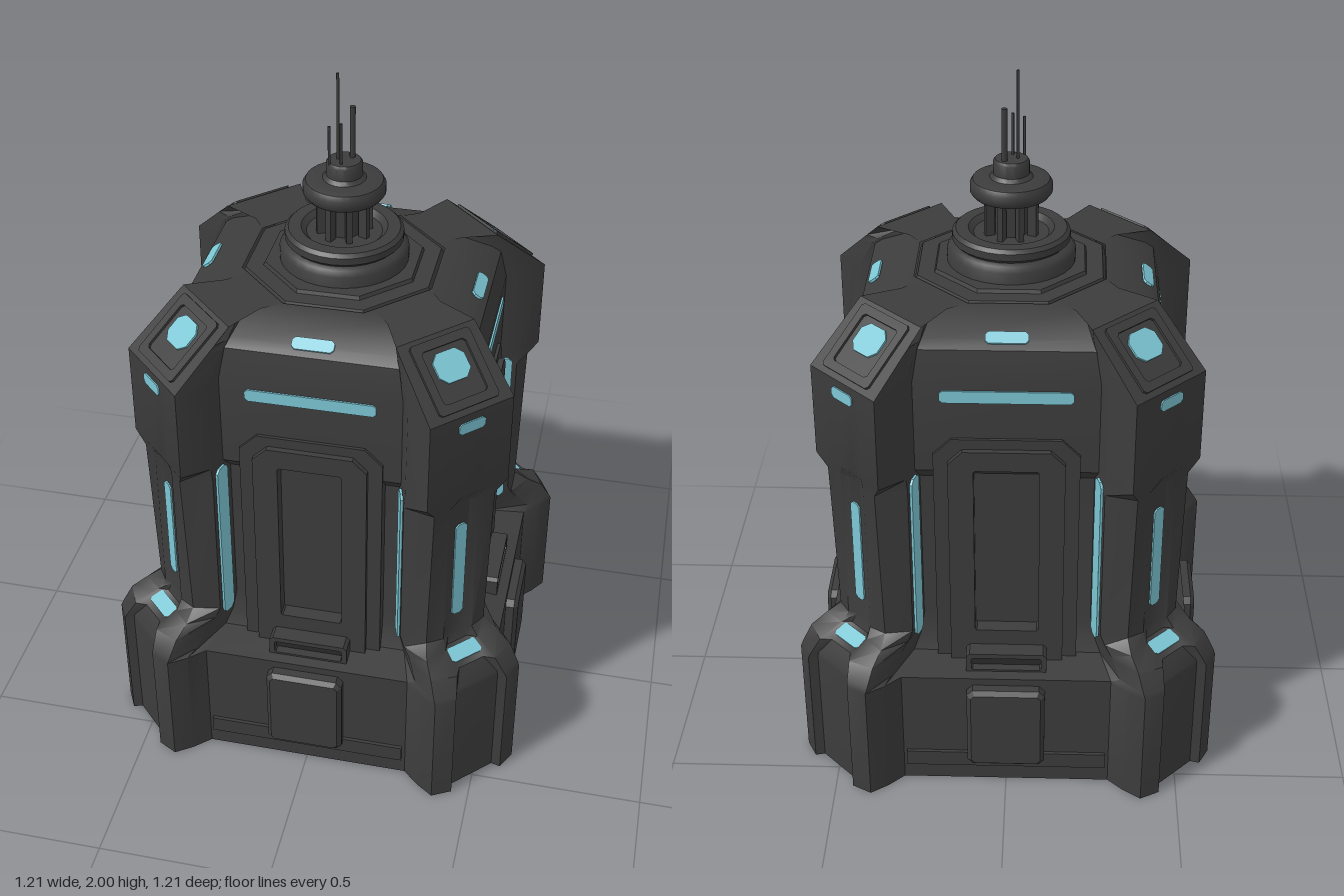
import * as THREE from 'three';
import { toCreasedNormals } from 'three/addons/utils/BufferGeometryUtils.js';

const hullMat = new THREE.MeshStandardMaterial({ color: 0x3c3c3c, side: THREE.DoubleSide });
hullMat.name = 'dark hull';
const lampMat = new THREE.MeshStandardMaterial({ color: 0x7cc6d4, side: THREE.DoubleSide });
lampMat.name = 'pale blue lamp';
const ventMat = new THREE.MeshStandardMaterial({ color: 0x2a2a2a });
ventMat.name = 'vent black';

// Hull levels: height, then five [x, z] points from the wall edge to the corner's middle
const FOOT = [[0.30, 0.53], [0.345, 0.572], [0.395, 0.606], [0.45, 0.577], [0.443, 0.55]];
const LEVELS = [
  [0.00, FOOT],
  [0.375, FOOT],
  [0.39, [[0.27, 0.42], [0.325, 0.54], [0.39, 0.60], [0.45, 0.57], [0.443, 0.547]]],
  [0.44, [[0.25, 0.40], [0.30, 0.50], [0.375, 0.573], [0.445, 0.54], [0.445, 0.505]]],
  [0.47, [[0.245, 0.395], [0.28, 0.485], [0.355, 0.53], [0.40, 0.48], [0.40, 0.45]]],
  [0.50, [[0.24, 0.39], [0.267, 0.475], [0.345, 0.488], [0.39, 0.46], [0.40, 0.435]]],
  [0.975, [[0.24, 0.39], [0.267, 0.475], [0.355, 0.498], [0.39, 0.46], [0.40, 0.435]]],
  [1.015, [[0.25, 0.425], [0.27, 0.475], [0.34, 0.53], [0.39, 0.48], [0.42, 0.45]]],
  [1.29, [[0.25, 0.428], [0.27, 0.465], [0.34, 0.53], [0.39, 0.48], [0.42, 0.45]]],
  [1.38, [[0.235, 0.41], [0.238, 0.42], [0.27, 0.452], [0.318, 0.404], [0.348, 0.374]]],
  [1.40, [[0.225, 0.385], [0.228, 0.40], [0.254, 0.435], [0.302, 0.387], [0.332, 0.357]]],
  [1.44, [[0.20, 0.285], [0.212, 0.33], [0.223, 0.40], [0.27, 0.353], [0.30, 0.323]]],
  [1.445, [[0.11, 0.265], [0.13, 0.245], [0.15, 0.225], [0.17, 0.205], [0.187, 0.188]]],
];

// Mirrors the points over the diagonal and turns them four times
function ring([y, half]) {
  const quarter = [...half, ...half.map(([x, z]) => [z, x]).reverse()];
  const out = [];
  for (let k = 0; k < 4; k++) {
    for (const p of quarter) {
      let [x, z] = p;
      for (let n = 0; n < k; n++) [x, z] = [z, -x];
      out.push([x, y, z]);
    }
  }
  return out;
}

function hullGeometry() {
  const rings = LEVELS.map(ring);
  const pos = [];
  for (let r = 0; r < rings.length - 1; r++) {
    const lo = rings[r], hi = rings[r + 1];
    for (let i = 0; i < lo.length; i++) {
      const j = (i + 1) % lo.length;
      pos.push(...lo[i], ...lo[j], ...hi[j], ...lo[i], ...hi[j], ...hi[i]);
    }
  }
  const geo = new THREE.BufferGeometry();
  geo.setAttribute('position', new THREE.Float32BufferAttribute(pos, 3));
  return toCreasedNormals(geo, 0.6);
}

// Rectangle outline with cut corners (c at the top, b at the bottom)
function outline(Kind, x0, x1, y0, y1, c, b = c) {
  return new Kind([
    [x0 + b, y0], [x1 - b, y0], [x1, y0 + b], [x1, y1 - c],
    [x1 - c, y1], [x0 + c, y1], [x0, y1 - c], [x0, y0 + b],
  ].map(([x, y]) => new THREE.Vector2(x, y)));
}

function add(parent, name, geo, mat, x = 0, y = 0, z = 0) {
  const m = new THREE.Mesh(geo, mat);
  m.name = name;
  m.position.set(x, y, z);
  parent.add(m);
  return m;
}

const extrude = (shape, depth) => new THREE.ExtrudeGeometry(shape, { depth, bevelEnabled: false });

// Thin lamp with cut corners, leaning back by tilt and turned by yaw
function lamp(parent, name, w, h, x, y, z, tilt = 0, yaw = 0) {
  const s = outline(THREE.Shape, -w / 2, w / 2, -h / 2, h / 2, Math.min(w, h) * 0.25);
  const m = add(parent, name, extrude(s, 0.007), lampMat, x, y, z);
  m.rotation.set(-tilt, yaw, 0);
}

function frame(parent, name, outer, hole, depth, x, y, z) {
  outer.holes.push(hole);
  return add(parent, name, extrude(outer, depth), hullMat, x, y, z);
}

// Door, lamps and hatch on one wall
function makeSide() {
  const g = new THREE.Group();
  g.name = 'wallSide';
  frame(g, 'outerDoorFrame', outline(THREE.Shape, -0.2, 0.2, 0.375, 1.12, 0.05, 0),
    outline(THREE.Path, -0.15, 0.15, 0.4, 1.08, 0.03, 0), 0.05, 0, 0, 0.385);
  frame(g, 'innerDoorFrame', outline(THREE.Shape, -0.16, 0.16, 0.375, 1.09, 0.04, 0),
    outline(THREE.Path, -0.09, 0.09, 0.49, 1.03, 0.005), 0.067, 0, 0, 0.385);
  add(g, 'doorLeaf', new THREE.BoxGeometry(0.19, 0.56, 0.02), hullMat, 0, 0.76, 0.4);

  // Vent on the ledge, with a surround
  frame(g, 'ventSurround', outline(THREE.Shape, -0.115, 0.115, 0.34, 0.44, 0.01),
    outline(THREE.Path, -0.1, 0.1, 0.385, 0.425, 0.004), 0.075, 0, 0, 0.425);
  add(g, 'vent', new THREE.BoxGeometry(0.2, 0.045, 0.05), ventMat, 0, 0.405, 0.45);

  // Hatch and sill on the base
  add(g, 'hatch', new THREE.ExtrudeGeometry(outline(THREE.Shape, -0.1, 0.1, 0.09, 0.34, 0.01),
    { depth: 0.03, bevelSize: 0.012, bevelThickness: 0.012, bevelSegments: 1 }), hullMat, 0, 0, 0.525);
  add(g, 'sill', new THREE.BoxGeometry(0.58, 0.05, 0.02), hullMat, 0, 0.08, 0.53);

  lamp(g, 'wallLamp', 0.36, 0.036, 0, 1.25, 0.426);
  lamp(g, 'roofEdgeLamp', 0.115, 0.035, 0, 1.402, 0.382, 0.95);
  for (const s of [-1, 1]) lamp(g, 'flankLamp', 0.05, 0.53, s * 0.255, 0.735, 0.437, 0, -s * 1.263);
  return g;
}

// Lamps on one corner tower; local z points outward
function makeCorner() {
  const g = new THREE.Group();
  g.name = 'cornerTower';
  const slope = 0.86;
  const rim = frame(g, 'slopeLampRim', outline(THREE.Shape, -0.095, 0.095, -0.1, 0.1, 0.008),
    outline(THREE.Path, -0.07, 0.07, -0.075, 0.075, 0.008), 0.008, 0, 1.366, 0.526);
  rim.rotation.x = -slope;
  lamp(g, 'slopeLamp', 0.1, 0.085, 0, 1.377, 0.512, slope);
  lamp(g, 'headLamp', 0.085, 0.034, 0, 1.25, 0.612);
  lamp(g, 'pillarLamp', 0.038, 0.33, 0, 0.735, 0.588);
  lamp(g, 'footLamp', 0.11, 0.046, 0, 0.454, 0.633, 1.17);
  return g;
}

function makeTurret() {
  const g = new THREE.Group();
  g.name = 'roofTurret';
  for (const [apothem, y] of [[0.265, 1.437], [0.215, 1.447]]) {
    const r = apothem / Math.cos(Math.PI / 8);
    const geo = new THREE.CylinderGeometry(r - 0.01, r, 0.02, 8).rotateY(Math.PI / 8);
    add(g, 'octagonPlinth', toCreasedNormals(geo, 0.5), hullMat, 0, y, 0);
  }
  const lathe = (name, pts) => add(g, name, toCreasedNormals(new THREE.LatheGeometry(
    pts.map(([x, y]) => new THREE.Vector2(x, y)), 32), 0.7), hullMat);
  lathe('turretDrum', [[0.17, 1.43], [0.18, 1.435], [0.18, 1.49], [0.17, 1.505], [0.155, 1.51],
    [0.165, 1.52], [0.165, 1.54], [0.155, 1.55], [0.12, 1.55], [0.105, 1.535], [0, 1.535]]);
  lathe('turretHead', [[0, 1.53], [0.045, 1.53], [0.045, 1.635], [0.08, 1.637], [0.104, 1.647], [0.114, 1.66],
    [0.114, 1.682], [0.106, 1.695], [0.09, 1.7], [0.06, 1.7], [0.05, 1.71], [0.05, 1.745], [0.045, 1.752], [0, 1.752]]);
  for (let i = 0; i < 8; i++) {
    const a = (i + 0.5) * Math.PI / 4;
    const strut = add(g, 'turretStrut', new THREE.BoxGeometry(0.016, 0.11, 0.026), hullMat,
      Math.sin(a) * 0.065, 1.59, Math.cos(a) * 0.065);
    strut.rotation.y = a;
  }
  // Antennas: x, z, tip height, radius
  for (const [x, z, tip, r] of [[-0.018, 0, 2, 0.004], [-0.035, 0.03, 1.86, 0.004],
    [-0.003, 0.028, 1.87, 0.004], [0.018, -0.02, 1.9, 0.008]]) {
    add(g, 'antenna', new THREE.CylinderGeometry(r, r, tip - 1.74, 8), hullMat, x, (tip + 1.74) / 2, z);
  }
  return g;
}

export function createModel() {
  const model = new THREE.Group();
  model.name = 'tower';
  add(model, 'hull', hullGeometry(), hullMat);
  for (let k = 0; k < 4; k++) {
    const side = makeSide();
    side.rotation.y = k * Math.PI / 2;
    const corner = makeCorner();
    corner.rotation.y = (k + 0.5) * Math.PI / 2;
    model.add(side, corner);
  }
  model.add(makeTurret());
  return model;
}
